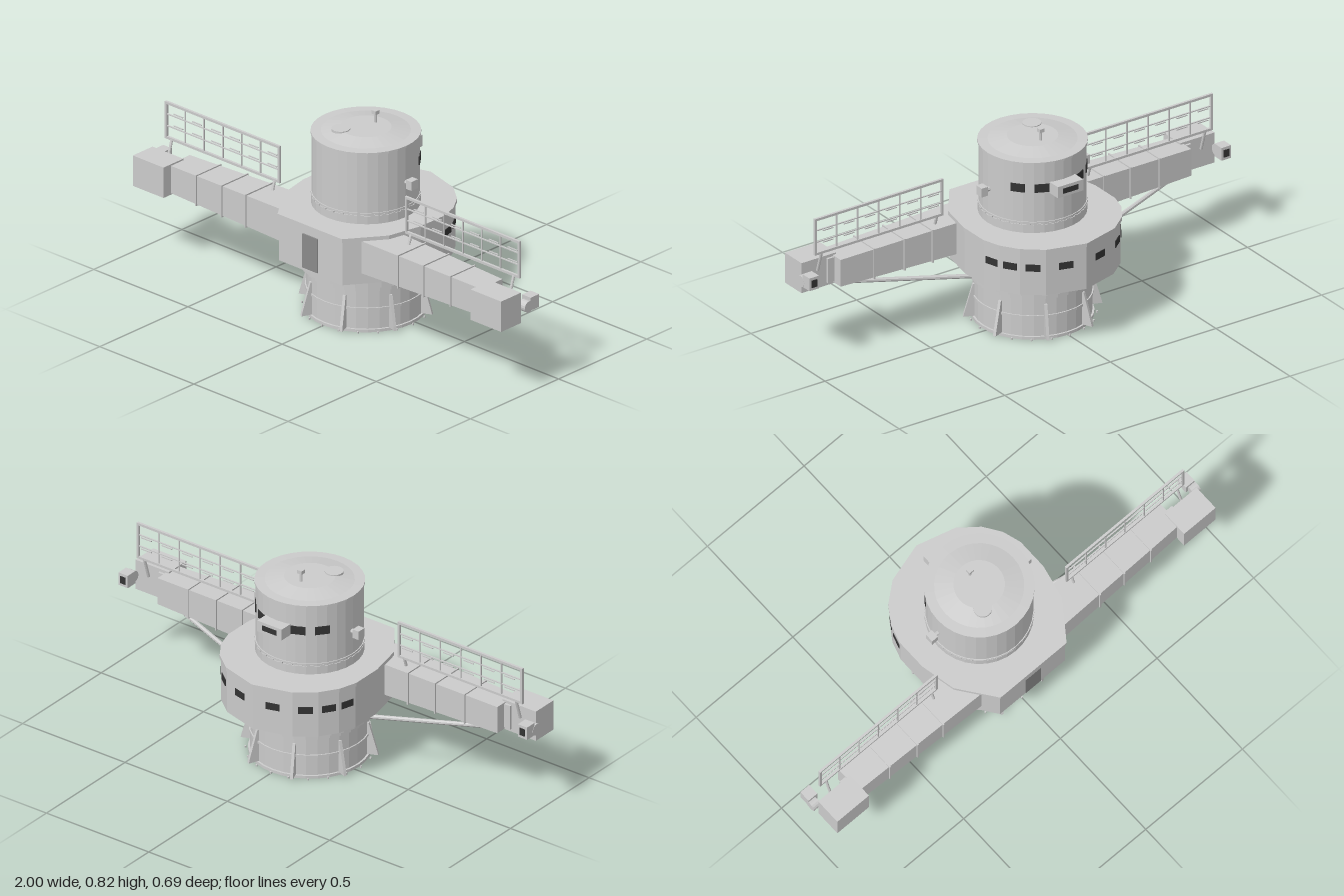
import * as THREE from 'three';

const grey = new THREE.MeshStandardMaterial({ color: 0xcccccc, flatShading: true });
const dark = new THREE.MeshStandardMaterial({ color: 0x333333, flatShading: true });
const CZ = 0.025; // z of the tower axis

export function createModel() {
  const model = new THREE.Group();

  const add = (name, geo, x = 0, y = 0, z = 0, mat = grey) => {
    const m = new THREE.Mesh(geo, mat);
    m.name = name;
    m.position.set(x, y, z);
    model.add(m);
    return m;
  };
  // box given by its limits
  const box = (name, x0, x1, y0, y1, z0, z1, mat) =>
    add(name, new THREE.BoxGeometry(Math.abs(x1 - x0), y1 - y0, z1 - z0),
      (x0 + x1) / 2, (y0 + y1) / 2, (z0 + z1) / 2, mat);
  // round bar between two points
  const bar = (name, a, b, r) => {
    const p = new THREE.Vector3(...a), q = new THREE.Vector3(...b), d = q.clone().sub(p);
    const m = add(name, new THREE.CylinderGeometry(r, r, d.length(), 8));
    m.position.copy(p).add(q).multiplyScalar(0.5);
    m.quaternion.setFromUnitVectors(new THREE.Vector3(0, 1, 0), d.normalize());
    return m;
  };
  const lathe = (name, pts) =>
    add(name, new THREE.LatheGeometry(pts.map(p => new THREE.Vector2(...p)), 32), 0, 0, CZ);

  // base column with stepped collar
  lathe('baseColumn', [[0, 0], [0.24, 0], [0.24, 0.012], [0.232, 0.012], [0.232, 0.092], [0.237, 0.092],
    [0.237, 0.102], [0.232, 0.102], [0.232, 0.175], [0.242, 0.175], [0.242, 0.2], [0.264, 0.2], [0.264, 0.255], [0, 0.255]]);

  // triangular fins round the base
  const finShape = new THREE.Shape([[0.225, 0.012], [0.276, 0.012], [0.272, 0.03], [0.238, 0.15], [0.225, 0.15]]
    .map(p => new THREE.Vector2(...p)));
  const finGeo = new THREE.ExtrudeGeometry(finShape, { depth: 0.012, bevelEnabled: false }).translate(0, 0, -0.006);
  for (let i = 0; i < 8; i++) add('baseFin', finGeo, 0, 0, CZ).rotation.y = (i + 0.5) * Math.PI / 4;

  // anchor bolts
  const boltGeo = new THREE.CylinderGeometry(0.004, 0.004, 0.008, 6);
  for (let i = 0; i < 20; i++) {
    const a = i * Math.PI / 10;
    add('anchorBolt', boltGeo, 0.25 * Math.cos(a), 0.004, CZ + 0.25 * Math.sin(a));
  }

  // faceted main hall: half outline (x, z) from back to front, mirrored
  const half = [[0, -0.338], [0.16, -0.293], [0.238, -0.23], [0.285, -0.16], [0.308, -0.085], [0.308, 0.045], [0.277, 0.19], [0.168, 0.338]];
  const outline = [...half, ...half.slice(1).reverse().map(([x, z]) => [-x, z])];
  const slab = (name, scale, y0, y1) => {
    const shape = new THREE.Shape(outline.map(([x, z]) => new THREE.Vector2(x * scale, -z * scale)));
    const geo = new THREE.ExtrudeGeometry(shape, { depth: y1 - y0, bevelEnabled: false });
    add(name, geo.rotateX(-Math.PI / 2), 0, y0, 0);
  };
  slab('mainHall', 1, 0.25, 0.436);
  slab('hallRoofRim', 1.016, 0.434, 0.45);
  box('frontDoor', -0.04, 0.04, 0.262, 0.407, 0.33, 0.343,
    new THREE.MeshStandardMaterial({ color: 0x8a8a8a, flatShading: true }));

  // hall windows, one on each rear facet
  for (const s of [1, -1]) for (let i = 0; i < 4; i++) {
    const [a, b] = [half[i], half[i + 1]];
    const w = add('hallWindow', new THREE.BoxGeometry(0.057, 0.029, 0.006), s * (a[0] + b[0]) / 2, 0.367, (a[1] + b[1]) / 2, dark);
    w.rotation.y = -s * Math.atan2(b[1] - a[1], b[0] - a[0]);
  }

  // upper tower with rings and shallow domed roof
  lathe('tower', [[0.213, 0.445], [0.213, 0.484], [0.21, 0.484], [0.21, 0.49], [0.214, 0.49], [0.214, 0.497], [0.21, 0.497],
    [0.21, 0.746], [0.215, 0.746], [0.215, 0.755], [0.175, 0.756], [0.1, 0.77], [0, 0.77]]);
  add('roofHatch', new THREE.CylinderGeometry(0.037, 0.037, 0.024, 20), -0.055, 0.762, 0.108);
  bar('mast', [0, 0.765, -0.03], [0, 0.81, -0.03], 0.006);
  box('mastHead', -0.011, 0.011, 0.806, 0.821, -0.041, -0.019);

  // skirt studs
  const studGeo = new THREE.BoxGeometry(0.014, 0.006, 0.008);
  for (let i = 0; i < 32; i++) {
    const a = (i + 0.5) * Math.PI / 16;
    add('skirtStud', studGeo, 0.21 * Math.sin(a), 0.486, CZ + 0.21 * Math.cos(a)).rotation.y = a;
  }

  // tower windows and the projecting rear cabin
  for (const s of [1, -1]) for (const deg of [39, 65]) {
    const a = deg * Math.PI / 180;
    const w = add('towerWindow', new THREE.BoxGeometry(0.058, 0.035, 0.008),
      s * 0.208 * Math.cos(a), 0.642, CZ - 0.208 * Math.sin(a), dark);
    w.rotation.y = s * (Math.PI / 2 + a);
  }
  box('rearCabin', -0.06, 0.06, 0.617, 0.665, -0.232, -0.165);
  box('rearCabinWindow', -0.035, 0.035, 0.63, 0.652, -0.234, -0.228, dark);

  // arm cross-section at distance x from the centre
  const section = (x, grow) => {
    const t = THREE.MathUtils.clamp((x - 0.25) / 0.57, 0, 1), L = THREE.MathUtils.lerp;
    return { y0: L(0.295, 0.304, t) - grow, y1: L(0.433, 0.42, t) + grow, z0: L(0.118, 0.137, t) - grow, z1: L(0.278, 0.26, t) + grow };
  };
  const armPiece = (name, s, x0, x1, grow) => {
    const geo = new THREE.BoxGeometry(1, 1, 1), p = geo.attributes.position;
    for (let i = 0; i < p.count; i++) {
      const x = s * (x0 + x1) / 2 + p.getX(i) * (x1 - x0), c = section(Math.abs(x), grow);
      p.setXYZ(i, x, p.getY(i) > 0 ? c.y1 : c.y0, p.getZ(i) > 0 ? c.z1 : c.z0);
    }
    geo.computeVertexNormals();
    add(name, geo);
  };

  for (const s of [1, -1]) {
    // tapered arm, joint collars and end box
    armPiece('arm', s, 0.2, 0.83, 0);
    for (const x of [0.405, 0.535, 0.675]) armPiece('armCollar', s, x - 0.003, x + 0.003, 0.005);
    box('armEndBox', s * 0.815, s * 0.978, 0.297, 0.427, 0.19, 0.302);
    box('armEndLink', s * 0.815, s * 0.86, 0.31, 0.415, 0.18, 0.25);

    // end sensor: drum and square housing
    add('sensorDrum', new THREE.CylinderGeometry(0.024, 0.024, 0.035, 16), s * 0.982, 0.365, 0.167).rotation.z = Math.PI / 2;
    box('sensorHousing', s * 0.953, s * 0.998, 0.345, 0.4, 0.108, 0.156);
    box('sensorWindow', s * 0.963, s * 0.988, 0.357, 0.388, 0.105, 0.11, dark);

    // diagonal strut under the arm
    bar('strut', [s * 0.76, 0.292, 0.178], [s * 0.24, 0.222, 0.038], 0.009);

    // lamp on the side of the tower
    bar('lampNeck', [s * 0.2, 0.598, 0.021], [s * 0.23, 0.598, 0.021], 0.01);
    box('lamp', s * 0.226, s * 0.256, 0.58, 0.618, 0.003, 0.04);

    // lattice panel: frame, grid bars, clips and posts
    const z = 0.155, X0 = 0.338, X1 = 0.937, Y0 = 0.47, Y1 = 0.618;
    for (const y of [Y0, Y1]) box('panelRail', s * (X0 - 0.005), s * (X1 + 0.005), y - 0.005, y + 0.005, z - 0.005, z + 0.005);
    for (const y of [0.52, 0.57]) box('panelBar', s * X0, s * X1, y - 0.002, y + 0.002, z - 0.003, z + 0.003);
    for (let i = 0; i <= 6; i++) {
      const x = s * (X0 + (X1 - X0) * i / 6), r = i % 6 ? 0.0025 : 0.005;
      box('panelUpright', x - r, x + r, Y0, Y1, z - r, z + r);
      if (i < 6) for (const y of [0.52, 0.57])
        box('panelClip', x + s * 0.025, x + s * 0.075, y - 0.002, y + 0.002, 0.139, 0.143);
    }
    for (const x of [0.362, 0.908]) bar('panelPost', [s * x, 0.47, z], [s * x, 0.38, 0.182], 0.006);
  }

  return model;
}
